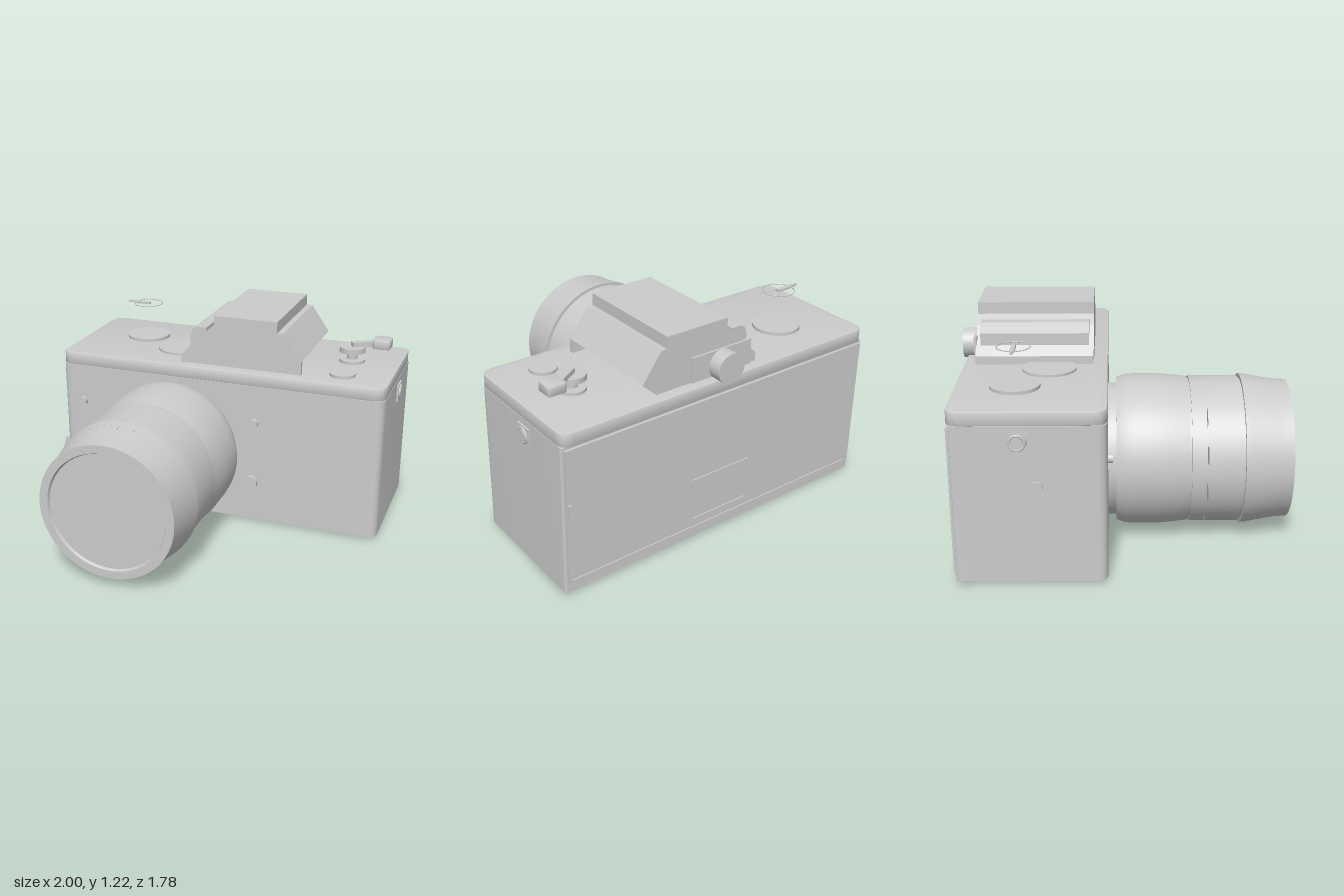
import * as THREE from 'three';
import { toCreasedNormals } from 'three/addons/utils/BufferGeometryUtils.js';

const mat = new THREE.MeshStandardMaterial({ color: 0xcccccc, side: THREE.DoubleSide });
const LX = -0.245, LY = 0.437; // lens axis

export function createModel() {
  const root = new THREE.Group();

  const add = (name, geo, x = 0, y = 0, z = 0) => {
    const m = new THREE.Mesh(geo, mat);
    m.name = name;
    m.position.set(x, y, z);
    root.add(m);
    return m;
  };
  // Box given by its minimum and maximum corners
  const box = (name, a, b) => add(name,
    new THREE.BoxGeometry(b[0] - a[0], b[1] - a[1], b[2] - a[2]),
    (a[0] + b[0]) / 2, (a[1] + b[1]) / 2, (a[2] + b[2]) / 2);
  // Cylinder centred at a point along a chosen axis
  const disc = (name, r, h, x, y, z, axis = 'y') => {
    const m = add(name, new THREE.CylinderGeometry(r, r, h, 40), x, y, z);
    if (axis === 'x') m.rotation.z = Math.PI / 2;
    if (axis === 'z') m.rotation.x = Math.PI / 2;
    return m;
  };
  // Plan outline with separate front and back corner radii, raised from y0 to y1
  const slab = (name, w, zf, zb, rf, rb, y0, y1, bevel = 0) => {
    const s = new THREE.Shape(), x = w - bevel, f = -zf + bevel, b = -zb - bevel;
    s.moveTo(-x + rf, f);
    s.lineTo(x - rf, f);
    s.quadraticCurveTo(x, f, x, f + rf);
    s.lineTo(x, b - rb);
    s.quadraticCurveTo(x, b, x - rb, b);
    s.lineTo(-x + rb, b);
    s.quadraticCurveTo(-x, b, -x, b - rb);
    s.lineTo(-x, f + rf);
    s.quadraticCurveTo(-x, f, -x + rf, f);
    const g = new THREE.ExtrudeGeometry(s, {
      depth: y1 - y0 - 2 * bevel, curveSegments: 8, bevelEnabled: bevel > 0,
      bevelSize: bevel, bevelThickness: bevel, bevelSegments: 2,
    });
    g.rotateX(-Math.PI / 2);
    return add(name, toCreasedNormals(g, 0.5), 0, y0 + bevel, 0);
  };
  // Front-view outline extruded from z0 to z1
  const profile = (name, pts, z0, z1) => add(name, new THREE.ExtrudeGeometry(
    new THREE.Shape(pts.map(p => new THREE.Vector2(...p))),
    { depth: z1 - z0, bevelEnabled: false }), 0, 0, z0);

  // Body, top cover and back door
  slab('body', 0.98, -0.088, -0.852, 0.06, 0.012, 0.015, 0.852);
  slab('topCover', 0.98, -0.088, -0.868, 0.065, 0.06, 0.852, 0.925, 0.006);
  box('backDoor', [-0.965, 0.06, -0.866], [0.965, 0.838, -0.85]);
  box('doorRail', [-0.93, 0.085, -0.872], [0.95, 0.095, -0.864]);
  box('doorLatch', [0.945, 0.45, -0.877], [0.96, 0.54, -0.86]);

  // Memo frame on the door
  for (const y of [0.14, 0.382]) box('memoFrame', [-0.17, y, -0.873], [0.21, y + 0.008, -0.864]);
  for (const x of [-0.17, 0.202]) box('memoFrame', [x, 0.14, -0.873], [x + 0.008, 0.39, -0.864]);

  // Prism housing: full front plate, then a section undercut on one side
  const upper = [[0.485, 1.0], [0.375, 1.155], [0.34, 1.155], [0.34, 1.22],
    [-0.035, 1.22], [-0.035, 1.155], [-0.1, 1.11], [-0.235, 0.97], [-0.235, 0.925]];
  profile('prismFront', [[0.485, 0.925], ...upper], -0.19, -0.165);
  profile('prismHousing', [[0.4, 0.925], ...upper], -0.805, -0.19);
  profile('prismRidge', [[-0.09, 0.93], [-0.09, 1.137], [-0.15, 1.137], [-0.175, 1.12],
    [-0.188, 1.085], [-0.188, 0.93]], -0.78, -0.19);

  // Eyepiece
  box('eyepiecePlate', [-0.19, 0.925, -0.816], [0.19, 1.065, -0.8]);
  disc('eyepiece', 0.083, 0.09, 0, 0.982, -0.848, 'z');
  add('eyepieceRim', new THREE.TorusGeometry(0.062, 0.005, 8, 32), 0, 0.982, -0.888);

  // Lens barrel
  const prof = [[0.3, -0.1], [0.365, -0.1], [0.365, -0.045], [0.395, -0.045], [0.413, 0],
    [0.416, 0.05], [0.416, 0.18], [0.409, 0.27], [0.4, 0.342], [0.392, 0.342], [0.392, 0.352],
    [0.404, 0.352], [0.404, 0.62], [0.392, 0.62], [0.392, 0.632], [0.415, 0.632],
    [0.413, 0.66], [0.386, 0.81], [0.381, 0.89], [0.335, 0.89], [0.328, 0.875], [0, 0.875]]
    .map(p => new THREE.Vector2(...p));
  const barrel = new THREE.LatheGeometry(prof, 80);
  barrel.rotateX(Math.PI / 2);
  add('lensBarrel', toCreasedNormals(barrel, 0.35), LX, LY, 0);

  // Scale ticks over the top of the front ring
  for (let i = -6; i <= 6; i++) {
    const a = i * 0.105;
    const t = add('lensTick', new THREE.BoxGeometry(0.005, 0.006, i ? 0.015 : 0.05),
      LX + Math.sin(a) * 0.405, LY + Math.cos(a) * 0.405, 0.695);
    t.rotation.z = -a;
  }
  // Thin tabs standing out from the barrel
  for (const [deg, r] of [[137, 0.41], [163, 0.435], [190, 0.435], [223, 0.375]]) {
    const a = deg * Math.PI / 180;
    add('lensTab', new THREE.PlaneGeometry(0.1, 0.09),
      LX + Math.cos(a) * r, LY + Math.sin(a) * r, 0.43).rotation.z = a;
  }

  // Front screws and release button
  for (const [x, y, r] of [[-0.845, 0.63, 0.025], [0.24, 0.63, 0.025], [0.225, 0.255, 0.042]]) {
    disc('frontScrew', r, 0.03, x, y, -0.078, 'z');
    box('screwSlot', [x - r * 0.55, y - 0.003, -0.065], [x + r * 0.55, y + 0.003, -0.061]);
  }

  // Top dials and the rewind crank
  disc('speedDial', 0.13, 0.02, -0.61, 0.932, -0.56);
  disc('counterDial', 0.145, 0.016, -0.32, 0.93, -0.4);
  disc('shutterButton', 0.075, 0.02, 0.705, 0.932, -0.255);
  add('crankRing', new THREE.TorusGeometry(0.086, 0.003, 8, 48), -0.61, 1.138, -0.56)
    .rotation.x = Math.PI / 2;
  box('crankArm', [-0.7, 1.132, -0.572], [-0.6, 1.144, -0.548]);
  box('crankTip', [-0.74, 1.134, -0.566], [-0.7, 1.146, -0.554]);

  // Film advance lever
  disc('leverBase', 0.075, 0.02, 0.7, 0.932, -0.515);
  disc('leverStem', 0.03, 0.07, 0.7, 0.96, -0.515);
  disc('leverHub', 0.075, 0.03, 0.7, 1.0, -0.515);
  const arm = add('leverArm', new THREE.BoxGeometry(0.16, 0.03, 0.04), 0.765, 1.027, -0.55);
  arm.rotation.y = 0.55;
  slab('leverGrip', 0.053, 0.05, -0.055, 0.012, 0.012, 1.0, 1.055, 0.008)
    .position.add(new THREE.Vector3(0.858, 0, -0.595));

  // Strap lugs on both sides
  for (const s of [-1, 1]) {
    disc('strapLug', 0.032, 0.03, s * 0.985, 0.77, -0.525, 'x');
    add('strapLugRing', new THREE.TorusGeometry(0.038, 0.007, 8, 32), s * 0.992, 0.77, -0.525)
      .rotation.y = Math.PI / 2;
    add('lugPlate', new THREE.BoxGeometry(0.02, 0.1, 0.1), s * 0.98, 0.77, -0.525);
  }
  disc('sideSocket', 0.035, 0.03, -0.982, 0.53, -0.44, 'x');

  // Tripod socket underneath
  const socket = new THREE.LatheGeometry([[0.035, 0.03], [0.035, 0], [0.062, 0], [0.062, 0.02]]
    .map(p => new THREE.Vector2(...p)), 40);
  add('tripodSocket', toCreasedNormals(socket, 0.5), LX, 0, -0.45);

  return root;
}
